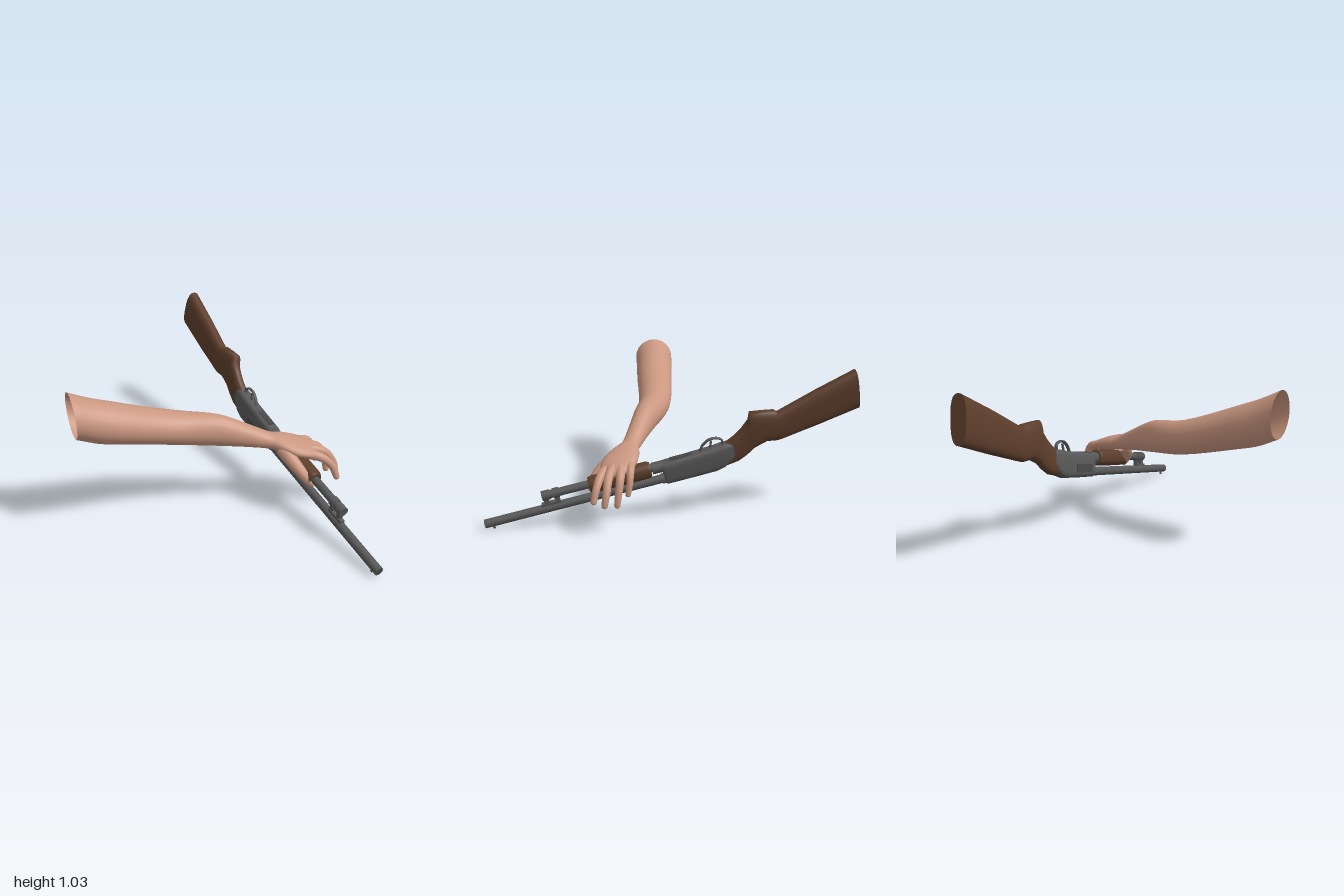
import * as THREE from 'three';

const material = (name, color, side = THREE.FrontSide) => {
  const m = new THREE.MeshStandardMaterial({ color, side });
  m.name = name;
  return m;
};

// Skin of elliptical cross-sections; rows are [x, y, z, halfWidth, halfHeight].
// A fixed axis keeps all sections parallel; upright keeps them vertical.
function loft(rows, { steps = 4, sides = 18, axis = null, upright = false, power = 1, caps = false } = {}) {
  const path = new THREE.CatmullRomCurve3(rows.map(r => new THREE.Vector3(r[0], r[1], r[2])));
  const size = new THREE.CatmullRomCurve3(rows.map(r => new THREE.Vector3(r[3], r[4], 0)));
  const n = (rows.length - 1) * steps, up = new THREE.Vector3(0, 1, 0);
  const pos = [], index = [];
  const squash = v => Math.sign(v) * Math.pow(Math.abs(v), power);
  for (let j = 0; j <= n; j++) {
    const c = path.getPoint(j / n), s = size.getPoint(j / n);
    const t = axis ? axis.clone() : path.getTangent(j / n);
    if (upright) t.setY(0).normalize();
    const side = up.clone().cross(t).normalize(), top = t.clone().cross(side);
    for (let i = 0; i < sides; i++) {
      const a = i / sides * Math.PI * 2;
      const p = c.clone().addScaledVector(side, squash(Math.cos(a)) * Math.max(s.x, 0.001))
        .addScaledVector(top, squash(Math.sin(a)) * Math.max(s.y, 0.001));
      pos.push(p.x, p.y, p.z);
      if (j < n) {
        const k = (i + 1) % sides, A = j * sides + i, B = j * sides + k;
        index.push(A, B, A + sides, B, B + sides, A + sides);
      }
    }
  }
  // Flat end caps with their own vertices
  if (caps) for (const ring of [0, n]) {
    const first = pos.length / 3;
    pos.push(...pos.slice(ring * sides * 3, (ring + 1) * sides * 3));
    for (let i = 1; i < sides - 1; i++) {
      if (ring) index.push(first, first + i, first + i + 1);
      else index.push(first, first + i + 1, first + i);
    }
  }
  const g = new THREE.BufferGeometry();
  g.setAttribute('position', new THREE.Float32BufferAttribute(pos, 3));
  g.setIndex(index);
  g.computeVertexNormals();
  return g;
}

export function createModel() {
  const model = new THREE.Group();
  const skin = material('skin', 0xca9780, THREE.DoubleSide);
  const wood = material('walnut', 0x5c3d2b);
  const metal = material('gunmetal', 0x575757);
  const dark = material('darkMetal', 0x464646);

  const add = (parent, name, geometry, mat, x = 0, y = 0, z = 0) => {
    const m = new THREE.Mesh(geometry, mat);
    m.name = name;
    m.position.set(x, y, z);
    parent.add(m);
    return m;
  };

  // Gun: local +x runs to the muzzle, local +y to the trigger side, origin at the muzzle
  const gun = new THREE.Group();
  gun.name = 'shotgun';
  const d = new THREE.Vector3(0.738, -0.211, 0.64).normalize();
  const across = d.clone().cross(new THREE.Vector3(0, 1, 0)).normalize();
  const u = across.clone().cross(d);
  gun.quaternion.setFromRotationMatrix(new THREE.Matrix4().makeBasis(d, u, across));
  gun.position.set(0.975, 0.05, 0.728);
  gun.rotateX(-0.14);
  model.add(gun);

  const rod = (name, x0, x1, y, r, mat, sides = 20) =>
    add(gun, name, new THREE.CylinderGeometry(r, r, x1 - x0, sides).rotateZ(-Math.PI / 2), mat, (x0 + x1) / 2, y);
  const box = (name, w, h, depth, mat, x, y, z = 0) =>
    add(gun, name, new THREE.BoxGeometry(w, h, depth), mat, x, y, z);
  // Gun bodies: rows of distance from muzzle, upper edge, lower edge, half width, rear first
  const body = (name, rows, power, mat) => add(gun, name, loft(
    rows.map(([t, a, b, w]) => [-t, (a + b) / 2, 0, w, (a - b) / 2]),
    { steps: 1, sides: 28, axis: new THREE.Vector3(1, 0, 0), power, caps: true }), mat);

  // Barrel and magazine tube
  rod('barrel', -1.27, 0, 0, 0.03, metal);
  rod('bore', 0, 0.002, 0, 0.021, dark);
  box('frontSight', 0.015, 0.025, 0.01, metal, -0.05, -0.037);
  rod('magazineTube', -1.27, -0.43, 0.1, 0.028, metal);
  rod('magazineCap', -0.47, -0.415, 0.1, 0.034, metal);
  rod('magazineRing', -0.53, -0.49, 0.1, 0.035, metal);
  rod('tubeCollar', -1.25, -1.17, 0.095, 0.04, metal);
  rod('barrelCollar', -1.26, -1.22, 0, 0.036, metal);

  // Clamp joining the tubes
  for (const x of [-0.435, -0.51]) box('clampPost', 0.03, 0.08, 0.03, metal, x, 0.05);
  box('clampFoot', 0.13, 0.02, 0.035, metal, -0.46, 0.032);

  // Pump grip
  body('pumpGrip', [
    [1.16, 0.141, 0.049, 0.046], [1.14, 0.151, 0.039, 0.056], [0.95, 0.153, 0.037, 0.058],
    [0.76, 0.151, 0.039, 0.056], [0.735, 0.143, 0.047, 0.048]
  ], 0.85, wood);

  // Receiver with rounded edges
  body('receiver', [
    [1.735, 0.145, 0.035, 0.042], [1.7, 0.152, 0.008, 0.048], [1.66, 0.15, -0.02, 0.051], [1.6, 0.143, -0.035, 0.052],
    [1.4, 0.134, -0.037, 0.052], [1.255, 0.128, -0.036, 0.052], [1.24, 0.12, -0.028, 0.046]
  ], 0.55, metal);
  box('ejectionPort', 0.2, 0.055, 0.008, dark, -1.4, 0.025, 0.05);
  box('loadingPort', 0.2, 0.008, 0.04, dark, -1.4, 0.132);

  // Trigger and guard
  const guardPath = new THREE.CatmullRomCurve3([
    [-1.51, 0.13], [-1.535, 0.172], [-1.585, 0.203], [-1.64, 0.2], [-1.67, 0.178], [-1.668, 0.14]
  ].map(p => new THREE.Vector3(p[0], p[1], 0)));
  const guard = add(gun, 'triggerGuard', new THREE.TubeGeometry(guardPath, 28, 0.008, 8), metal);
  guard.scale.z = 1.6;
  const trigger = box('trigger', 0.012, 0.05, 0.012, metal, -1.59, 0.165);
  trigger.rotation.z = 0.3;

  // Stock with its hand grip
  body('stock', [
    [2.63, 0.445, 0.165, 0.054], [2.35, 0.368, 0.118, 0.054], [2.07, 0.282, 0.076, 0.048], [2.05, 0.302, 0.074, 0.05],
    [1.97, 0.318, 0.088, 0.05], [1.885, 0.332, 0.062, 0.047], [1.87, 0.28, 0.052, 0.043], [1.82, 0.23, 0.02, 0.041],
    [1.76, 0.185, -0.008, 0.041], [1.68, 0.145, -0.018, 0.042]
  ], 0.75, wood);

  // Arm with an open upper end, running into the palm
  add(model, 'armAndPalm', loft([
    [-0.893, 0.856, 0.873, 0.145, 0.145], [-0.8, 0.795, 0.785, 0.14, 0.143], [-0.7, 0.75, 0.695, 0.137, 0.135],
    [-0.42, 0.638, 0.45, 0.117, 0.112], [-0.17, 0.595, 0.325, 0.086, 0.108], [0.0, 0.542, 0.245, 0.07, 0.078],
    [0.12, 0.5, 0.19, 0.064, 0.056], [0.2, 0.48, 0.157, 0.097, 0.054], [0.29, 0.453, 0.127, 0.12, 0.05],
    [0.37, 0.43, 0.1, 0.105, 0.04], [0.42, 0.41, 0.085, 0.07, 0.024], [0.435, 0.405, 0.08, 0.002, 0.002]
  ], { sides: 24, upright: true }), skin);

  // Fingers and thumb: base to tip, then base and tip radius
  const digits = {
    indexFinger: [[[0.37, 0.425, 0.16], [0.46, 0.4, 0.135], [0.53, 0.335, 0.11], [0.565, 0.25, 0.105]], 0.034, 0.021],
    middleFinger: [[[0.37, 0.435, 0.11], [0.46, 0.405, 0.065], [0.52, 0.315, 0.03], [0.54, 0.235, 0.03]], 0.034, 0.021],
    ringFinger: [[[0.34, 0.44, 0.07], [0.41, 0.4, 0.01], [0.45, 0.31, -0.012], [0.465, 0.225, -0.01]], 0.033, 0.02],
    littleFinger: [[[0.27, 0.45, 0.05], [0.33, 0.43, -0.005], [0.365, 0.355, -0.03], [0.38, 0.28, -0.028]], 0.031, 0.018],
    thumb: [[[0.22, 0.455, 0.2], [0.32, 0.385, 0.255], [0.4, 0.31, 0.272], [0.435, 0.265, 0.262]], 0.052, 0.023]
  };
  for (const [name, [pts, r0, r1]] of Object.entries(digits)) {
    const rows = pts.map((p, i) => {
      const r = r0 + (r1 - r0) * i / 3;
      return [...p, r, r];
    });
    const tip = new THREE.Vector3(...pts[3]);
    const ahead = tip.clone().sub(new THREE.Vector3(...pts[2])).normalize();
    for (const [step, k] of [[0.6, 0.75], [0.9, 0.02]]) {
      const p = tip.clone().addScaledVector(ahead, r1 * step);
      rows.push([p.x, p.y, p.z, r1 * k, r1 * k]);
    }
    add(model, name, loft(rows, { sides: 14 }), skin);
  }
  return model;
}
